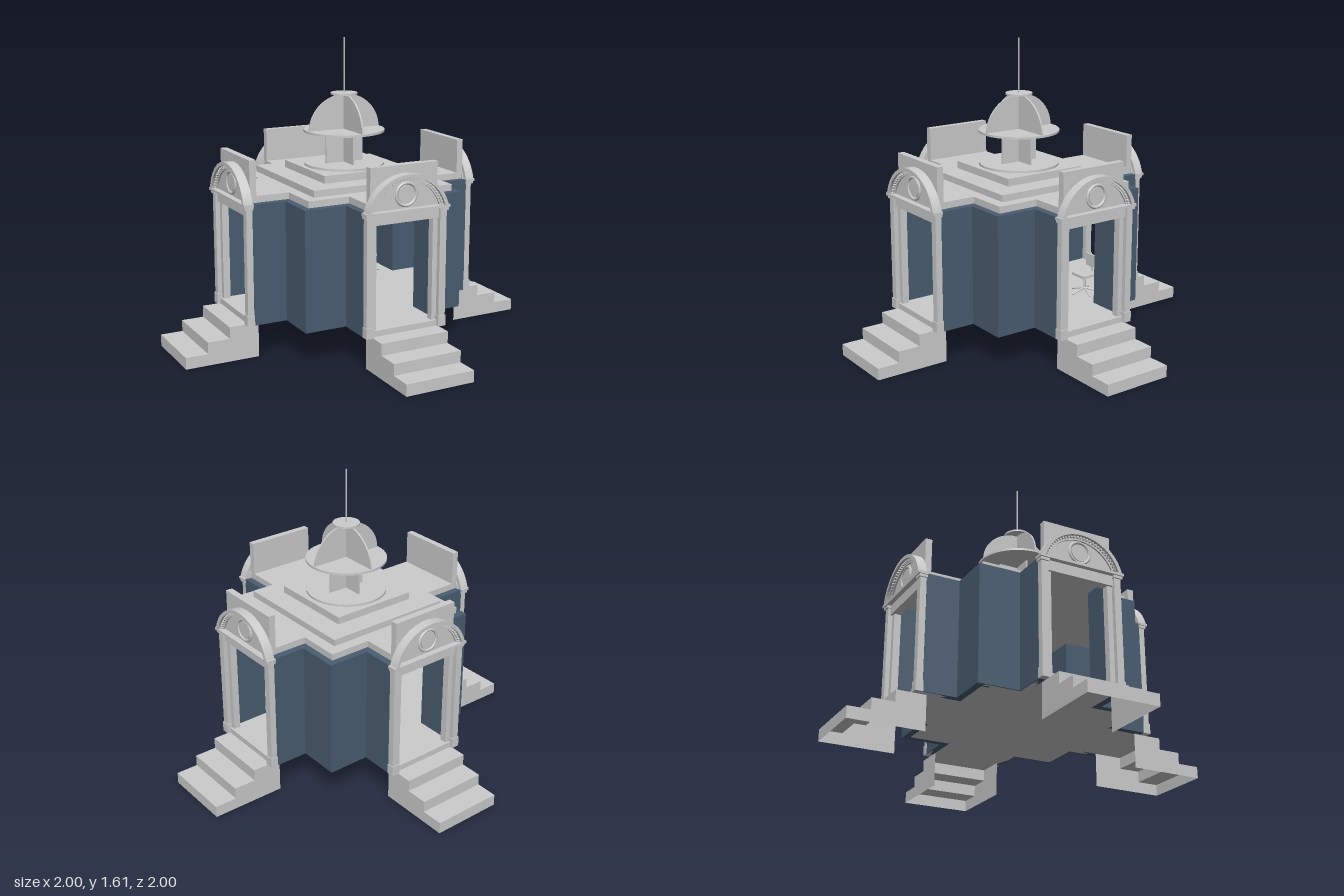
import * as THREE from 'three';

const grey = new THREE.MeshStandardMaterial({ color: 0xcccccc, side: THREE.DoubleSide });
const blue = new THREE.MeshStandardMaterial({ color: 0x4a5d70, side: THREE.DoubleSide });

function add(parent, name, geo, mat = grey, x = 0, y = 0, z = 0) {
  const m = new THREE.Mesh(geo, mat);
  m.name = name;
  m.position.set(x, y, z);
  parent.add(m);
  return m;
}

// Box given by its min/max on each axis
function block(parent, name, x0, x1, y0, y1, z0, z1, mat = grey) {
  return add(parent, name, new THREE.BoxGeometry(x1 - x0, y1 - y0, z1 - z0), mat,
    (x0 + x1) / 2, (y0 + y1) / 2, (z0 + z1) / 2);
}

const outline = pts => new THREE.Shape(pts.map(p => new THREE.Vector2(p[0], p[1])));

// Plan outline raised from y0 to y1
function raise(parent, name, pts, y0, y1, mat = grey) {
  const g = new THREE.ExtrudeGeometry(outline(pts), { depth: y1 - y0, bevelEnabled: false });
  g.rotateX(-Math.PI / 2);
  return add(parent, name, g, mat, 0, y0, 0);
}

// Cross plan: core half-size c, wing half-width w, wing reach r
const cross = (c, w, r) => [
  [w, r], [w, c], [c, c], [c, w], [r, w], [r, -w], [c, -w], [c, -c], [w, -c], [w, -r],
  [-w, -r], [-w, -c], [-c, -c], [-c, -w], [-r, -w], [-r, w], [-c, w], [-c, c], [-w, c], [-w, r]];

// Circle segment above the springing line, optionally hollow
const ARC_Y = 0.763, SPRING = 0.82;
function archGeo(rOut, rIn, depth) {
  const s = new THREE.Shape();
  const a = Math.asin((SPRING - ARC_Y) / rOut);
  s.absarc(0, ARC_Y, rOut, a, Math.PI - a, false);
  if (rIn) {
    const b = Math.asin((SPRING - ARC_Y) / rIn);
    s.absarc(0, ARC_Y, rIn, Math.PI - b, b, true);
  }
  return new THREE.ExtrudeGeometry(s, { depth, bevelEnabled: false, curveSegments: 32 });
}

// Hollow flight of three steps with an open underside
function stairs(parent) {
  const g = new THREE.Group();
  g.name = 'stairs';
  parent.add(g);
  const w = 0.192, steps = [[0.6, 0.76, 0.185], [0.76, 0.88, 0.123], [0.88, 1, 0.062]];
  const side = [[0.6, 0]];
  steps.forEach(([z0, z1, y], i) => {
    const below = i < 2 ? steps[i + 1][2] : 0;
    side.push([z0, y], [z1, y]);
    add(g, 'tread', new THREE.PlaneGeometry(2 * w, z1 - z0).rotateX(-Math.PI / 2), grey, 0, y, (z0 + z1) / 2);
    add(g, 'riser', new THREE.PlaneGeometry(2 * w, y - below), grey, 0, (y + below) / 2, z1);
  });
  side.push([1, 0]);
  for (const s of [-1, 1]) {
    add(g, 'stairSide', new THREE.ShapeGeometry(outline(side)).rotateY(-Math.PI / 2), grey, s * w, 0, 0);
  }
}

// Doorway frame, arched pediment and parapet
function portal(parent) {
  const g = new THREE.Group();
  g.name = 'portal';
  parent.add(g);
  for (const s of [-1, 1]) {
    const p = (name, a, b, ...r) => block(g, name, Math.min(s * a, s * b), Math.max(s * a, s * b), ...r);
    p('pilaster', 0.19, 0.228, 0.185, 0.82, 0.635, 0.672);
    p('jamb', 0.162, 0.195, 0.215, 0.76, 0.61, 0.648);
    p('plinth', 0.186, 0.231, 0.185, 0.24, 0.635, 0.677);
    p('capital', 0.186, 0.235, 0.795, 0.812, 0.635, 0.68);
  }
  block(g, 'lintel', -0.195, 0.195, 0.755, 0.82, 0.61, 0.66);
  block(g, 'cornice', -0.24, 0.24, 0.81, 0.824, 0.635, 0.687);
  block(g, 'threshold', -0.2, 0.2, 0.185, 0.216, 0.6, 0.66);
  block(g, 'parapet', -0.192, 0.192, 0.82, 1.04, 0.6, 0.636);
  add(g, 'tympanum', archGeo(0.215, 0, 0.025), grey, 0, 0, 0.63);
  add(g, 'archMoulding', archGeo(0.237, 0.218, 0.05), grey, 0, 0, 0.637);
  add(g, 'archBand', archGeo(0.219, 0.198, 0.027), grey, 0, 0, 0.637);
  add(g, 'roundelRing', new THREE.TorusGeometry(0.057, 0.008, 8, 40), grey, 0, 0.895, 0.656);
  add(g, 'roundelDisc', new THREE.CylinderGeometry(0.046, 0.046, 0.006, 32).rotateX(Math.PI / 2), grey, 0, 0.895, 0.657);
  // Dentils along the inner edge of the arch
  const n = 30, a0 = 0.3;
  for (let i = 0; i <= n; i++) {
    const a = a0 + (Math.PI - 2 * a0) * i / n;
    const d = add(g, 'dentil', new THREE.BoxGeometry(0.01, 0.01, 0.012), grey,
      Math.cos(a) * 0.212, ARC_Y + Math.sin(a) * 0.212, 0.669);
    d.rotation.z = a;
  }
}

// Tapered limb between two points
function limb(parent, name, a, b, ra, rb) {
  const A = new THREE.Vector3(...a), B = new THREE.Vector3(...b), d = B.clone().sub(A);
  const m = add(parent, name, new THREE.CylinderGeometry(rb, ra, d.length(), 10));
  m.position.copy(A).addScaledVector(d, 0.5);
  m.quaternion.setFromUnitVectors(new THREE.Vector3(0, 1, 0), d.normalize());
  add(parent, name + 'Joint', new THREE.SphereGeometry(rb, 10, 8), grey, ...b);
}

function figure() {
  const g = new THREE.Group();
  g.name = 'standingFigure';
  const prof = [[0, 0.405], [0.03, 0.415], [0.037, 0.435], [0.03, 0.475], [0.034, 0.51],
    [0.045, 0.55], [0.042, 0.575], [0.016, 0.588], [0.012, 0.605]];
  add(g, 'torso', new THREE.LatheGeometry(prof.map(p => new THREE.Vector2(...p)), 20)).scale.z = 0.65;
  add(g, 'head', new THREE.SphereGeometry(0.02, 16, 12), grey, 0, 0.62, 0.006).scale.set(0.88, 1.3, 1.1);
  for (const s of [-1, 1]) {
    limb(g, 'upperArm', [s * 0.046, 0.565, 0], [s * 0.06, 0.49, -0.006], 0.016, 0.011);
    limb(g, 'forearm', [s * 0.06, 0.49, -0.006], [s * 0.069, 0.42, 0.008], 0.012, 0.007);
    add(g, 'hand', new THREE.SphereGeometry(0.01, 10, 8), grey, s * 0.07, 0.402, 0.012).scale.set(0.7, 1.8, 1);
    limb(g, 'thigh', [s * 0.02, 0.425, 0], [s * 0.023, 0.325, 0.002], 0.021, 0.014);
    limb(g, 'shin', [s * 0.023, 0.325, 0.002], [s * 0.027, 0.235, -0.008], 0.015, 0.009);
    add(g, 'foot', new THREE.SphereGeometry(0.011, 10, 8), grey, s * 0.029, 0.226, 0.008).scale.set(1, 0.75, 2.4);
  }
  return g;
}

// Pedestal chair standing in a corner of the room
function chair() {
  const g = new THREE.Group();
  g.name = 'chair';
  g.position.set(0.27, 0.216, -0.25);
  for (let i = 0; i < 5; i++) {
    const a = i * Math.PI * 0.4;
    limb(g, 'chairFoot', [0, 0.03, 0], [Math.sin(a) * 0.08, 0.008, Math.cos(a) * 0.08], 0.006, 0.005);
  }
  limb(g, 'chairPost', [0, 0.02, 0], [0, 0.1, 0], 0.007, 0.007);
  block(g, 'chairSeat', -0.05, 0.05, 0.1, 0.115, -0.05, 0.05);
  block(g, 'chairBack', -0.045, 0.045, 0.14, 0.21, -0.055, -0.045);
  limb(g, 'chairBackPost', [0, 0.1, -0.05], [0, 0.16, -0.052], 0.005, 0.005);
  return g;
}

export function createModel() {
  const model = new THREE.Group();
  model.name = 'pavilion';
  raise(model, 'floor', cross(0.45, 0.225, 0.637), 0.185, 0.215);
  raise(model, 'roofSlab', cross(0.42, 0.192, 0.636), 0.818, 0.855);
  block(model, 'lowerRoofStep', -0.36, 0.36, 0.855, 0.89, -0.36, 0.36);
  block(model, 'upperRoofStep', -0.24, 0.24, 0.89, 0.93, -0.24, 0.24);

  // Zigzag wall in each corner, with stairs and doorway on each side
  const corner = [[0.23, 0.638], [0.23, 0.457], [0.457, 0.457], [0.457, 0.23], [0.638, 0.23],
    [0.638, 0.192], [0.42, 0.192], [0.42, 0.42], [0.192, 0.42], [0.192, 0.638]];
  for (let k = 0; k < 4; k++) {
    const side = new THREE.Group();
    side.name = 'side';
    side.rotation.y = k * Math.PI / 2;
    raise(side, 'wall', corner, 0.185, 0.82, blue);
    stairs(side);
    portal(side);
    model.add(side);
  }

  // Open dome of crossed fins between discs
  const disc = (name, r, y0, y1) =>
    add(model, name, new THREE.CylinderGeometry(r, r, y1 - y0, 48), grey, 0, (y0 + y1) / 2, 0);
  disc('lanternBase', 0.215, 0.93, 0.942);
  disc('domeDisc', 0.217, 1.11, 1.122);
  disc('domeCap', 0.072, 1.308, 1.318);
  for (const r of [0, Math.PI / 2]) {
    const fin = new THREE.Shape();
    fin.absarc(0, 0, 0.21, 0.02, Math.PI - 0.02, false);
    const geo = new THREE.ExtrudeGeometry(fin, { depth: 0.009, bevelEnabled: false, curveSegments: 32 });
    geo.translate(0, 0, -0.0045).scale(1, 0.92, 1);
    add(model, 'domeFin', geo, grey, 0, 1.117, 0).rotation.y = r;
    block(model, 'lanternFin', -0.11, 0.11, 0.94, 1.112, -0.0045, 0.0045).rotation.y = r;
  }
  add(model, 'spire', new THREE.CylinderGeometry(0.004, 0.004, 0.3, 10), grey, 0, 1.46, 0);

  model.add(figure(), chair());
  return model;
}
